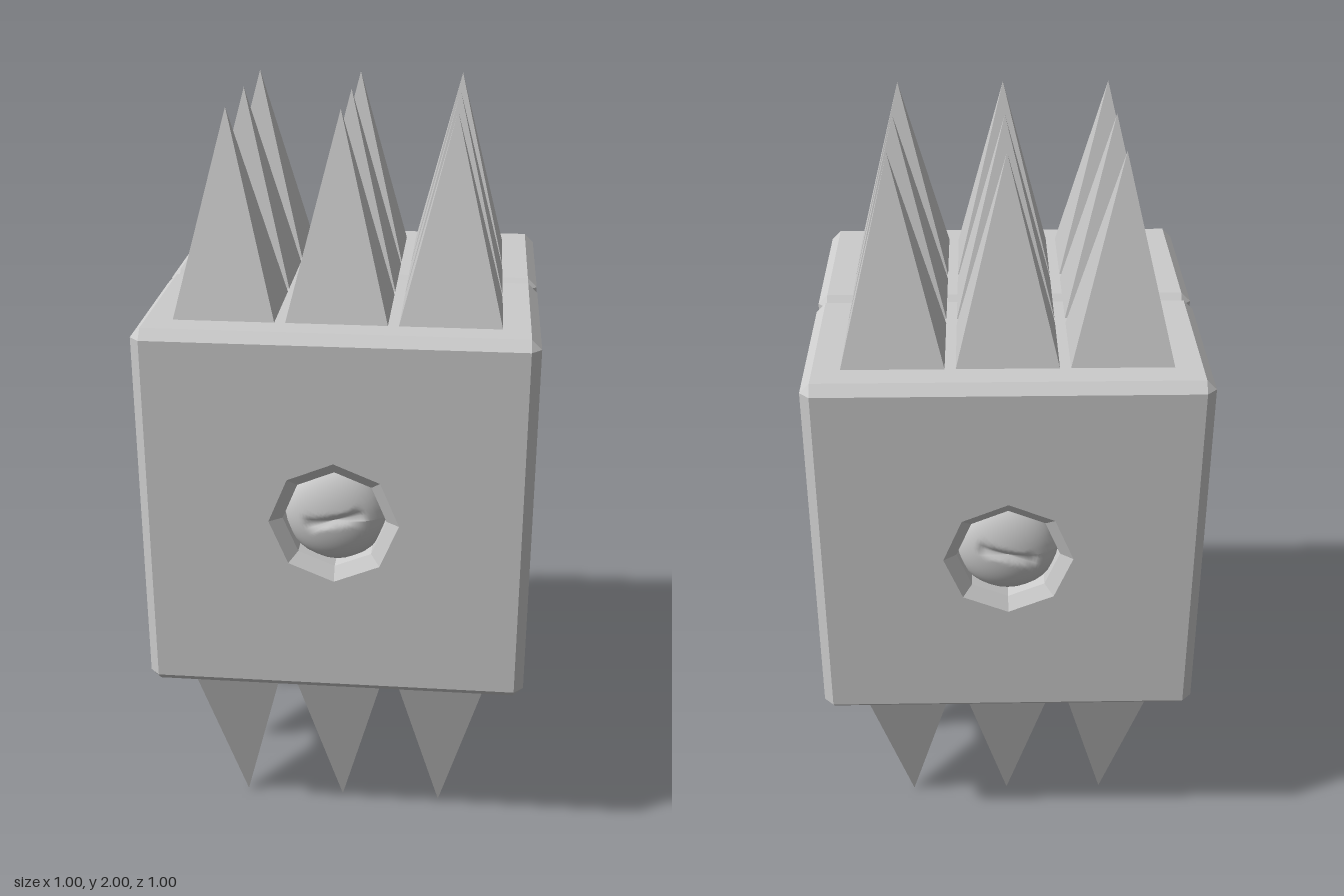
import * as THREE from 'three';

const HALF = 0.5, BEVEL = 0.025, FLAT = HALF - BEVEL;

// Faceted skin between cross-sections listed from front to back
function loft(rings) {
  const pos = [];
  for (let r = 0; r < rings.length - 1; r++) {
    const a = rings[r], b = rings[r + 1], n = a.length;
    for (let i = 0; i < n; i++) {
      const j = (i + 1) % n;
      pos.push(...a[i], ...b[i], ...b[j], ...a[i], ...b[j], ...a[j]);
    }
  }
  const g = new THREE.BufferGeometry();
  g.setAttribute('position', new THREE.Float32BufferAttribute(pos, 3));
  g.computeVertexNormals();
  return g;
}

// Square section with cut corners; a = half width, c = half length of the flat side
const squareRing = (a, c, z) => [
  [a, -c, z], [a, c, z], [c, a, z], [-c, a, z],
  [-a, c, z], [-a, -c, z], [-c, -a, z], [c, -a, z],
];

// Octagon section, clockwise so that a loft of them faces inward
const octagonRing = (r, z) => Array.from({ length: 8 }, (_, i) => {
  const t = -i * Math.PI / 4;
  return [r * Math.cos(t), r * Math.sin(t), z];
});

// Rounded button with a slanted slit
function buttonGeometry(slitAngle) {
  const R = 0.135, g = new THREE.RingGeometry(0, R, 32, 16), p = g.attributes.position;
  const c = Math.cos(slitAngle), s = Math.sin(slitAngle);
  for (let i = 0; i < p.count; i++) {
    const x = p.getX(i), y = p.getY(i);
    const along = Math.abs(x * c + y * s), across = Math.abs(y * c - x * s);
    const dome = 0.07 * Math.sqrt(Math.max(0, 1 - (x * x + y * y) / (R * R)));
    const slit = 0.015 * Math.max(0, 1 - across / 0.018) * Math.min(1, Math.max(0, (0.085 - along) / 0.02));
    p.setZ(i, 0.42 + dome - slit);
  }
  g.computeVertexNormals();
  return g;
}

export function createModel() {
  const model = new THREE.Group();
  model.name = 'spikedBlock';
  const grey = new THREE.MeshStandardMaterial({ color: 0xcccccc });
  grey.name = 'grey';
  const add = (parent, geometry, name) => {
    const mesh = new THREE.Mesh(geometry, grey);
    mesh.name = name;
    parent.add(mesh);
    return mesh;
  };

  // Two bevelled halves meeting in a V groove, each with a recessed button
  const sides = loft([
    squareRing(FLAT, FLAT, HALF), squareRing(HALF, FLAT, FLAT),
    squareRing(HALF, FLAT, BEVEL), squareRing(FLAT, FLAT, 0),
  ]);
  const faceShape = new THREE.Shape([[-1, -1], [1, -1], [1, 1], [-1, 1]]
    .map(([x, y]) => new THREE.Vector2(x * FLAT, y * FLAT)));
  faceShape.holes.push(new THREE.Path(octagonRing(0.166, 0).map(([x, y]) => new THREE.Vector2(x, y))));
  const face = new THREE.ShapeGeometry(faceShape).translate(0, 0, HALF);
  const inner = new THREE.PlaneGeometry(2 * FLAT, 2 * FLAT).rotateY(Math.PI);
  const recess = loft([octagonRing(0.166, HALF), octagonRing(0.133, FLAT), octagonRing(0.133, 0.41)]);

  for (const [name, turn, slit] of [['frontHalf', 0, 0.24], ['backHalf', Math.PI, -0.24]]) {
    const half = new THREE.Group();
    half.name = name;
    half.position.y = 1;
    half.rotation.y = turn;
    add(half, sides, 'bevelledSides');
    add(half, face, 'outerFace');
    add(half, inner, 'innerFace');
    add(half, recess, 'recess');
    add(half, buttonGeometry(slit), 'button');
    model.add(half);
  }

  // Three by three pyramids above and below
  const spike = new THREE.ConeGeometry(0.253 / Math.SQRT2, 0.5, 4)
    .rotateY(Math.PI / 4).translate(0, 0.25, 0).toNonIndexed();
  spike.computeVertexNormals();
  for (const up of [true, false]) {
    const group = new THREE.Group();
    group.name = up ? 'topSpikes' : 'bottomSpikes';
    group.position.y = up ? 1.5 : 0.5;
    if (!up) group.rotation.x = Math.PI;
    for (const x of [-0.28, 0, 0.28]) {
      for (const z of [-0.28, 0, 0.28]) add(group, spike, 'spike').position.set(x, 0, z);
    }
    model.add(group);
  }
  return model;
}
